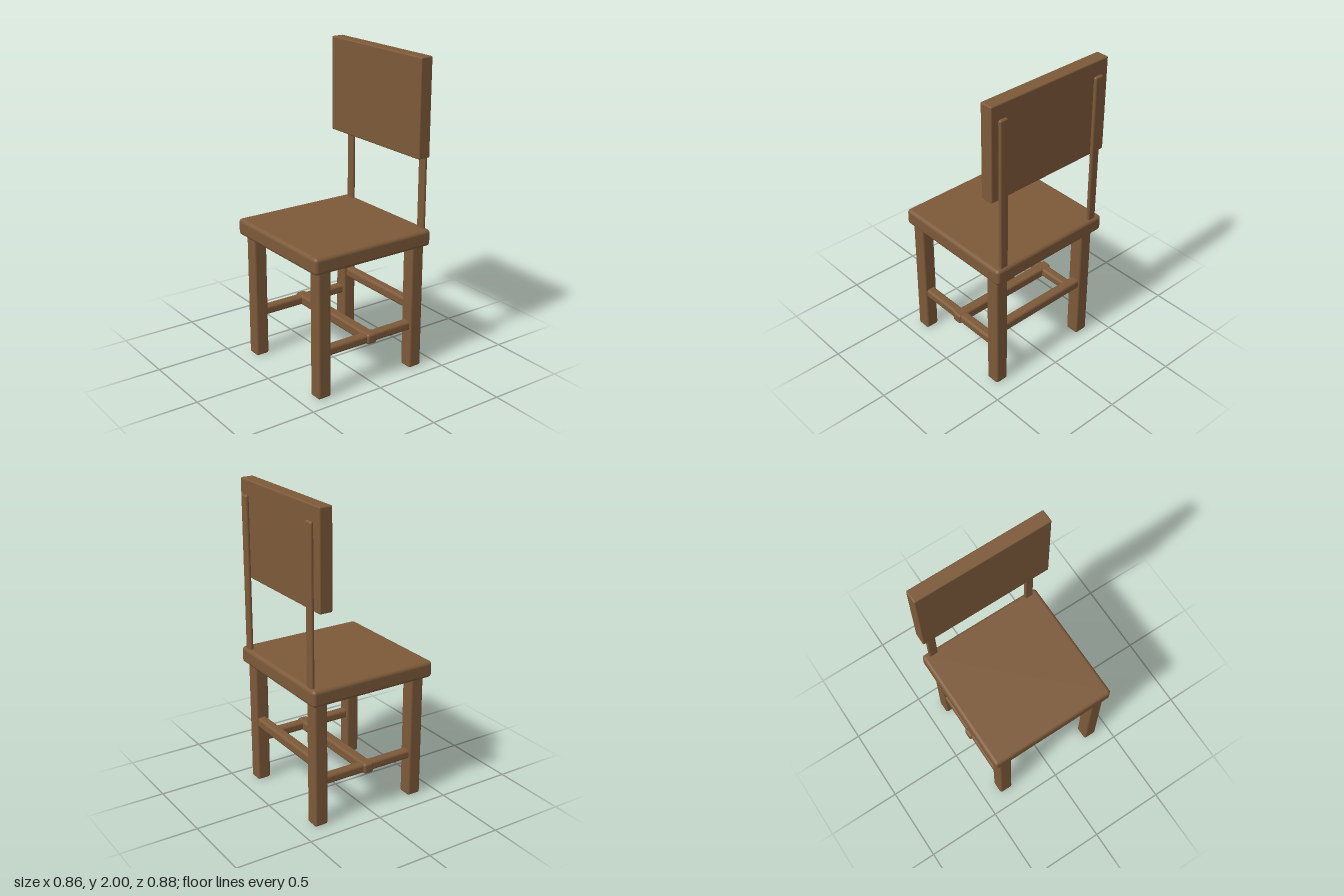
import * as THREE from 'three';
import { RoundedBoxGeometry } from 'three/addons/geometries/RoundedBoxGeometry.js';

const wood = new THREE.MeshStandardMaterial({ color: 0x7d5a3a });

// Wooden bar with softened edges, given by its [min, max] extent on each axis
function bar(name, [x0, x1], [y0, y1], [z0, z1], radius) {
  const geometry = new RoundedBoxGeometry(x1 - x0, y1 - y0, z1 - z0, 4, radius);
  const mesh = new THREE.Mesh(geometry, wood);
  mesh.position.set((x0 + x1) / 2, (y0 + y1) / 2, (z0 + z1) / 2);
  mesh.name = name;
  return mesh;
}

export function createModel() {
  const chair = new THREE.Group();
  chair.name = 'chair';

  // Seat
  chair.add(bar('seat', [-0.43, 0.43], [0.817, 0.925], [-0.43, 0.432], 0.024));

  // The two sides of the chair: legs, low stretcher and back post
  const sides = [
    { side: 'near', leg: [0.32, 0.41], rail: [0.335, 0.398], post: [0.335, 0.396] },
    { side: 'far', leg: [-0.385, -0.293], rail: [-0.375, -0.312], post: [-0.388, -0.326] },
  ];
  for (const { side, leg, rail, post } of sides) {
    chair.add(bar(`${side}FrontLeg`, [-0.397, -0.305], [0, 0.84], leg, 0.015));
    chair.add(bar(`${side}BackLeg`, [0.303, 0.395], [0, 0.84], leg, 0.015));
    chair.add(bar(`${side}SideStretcher`, [-0.33, 0.33], [0.263, 0.323], rail, 0.018));
    chair.add(bar(`${side}BackPost`, [0.392, 0.416], [0.88, 1.91], post, 0.0115));
  }

  // Cross stretcher joining the side stretchers, its ends standing slightly proud
  chair.add(bar('crossStretcher', [-0.03, 0.04], [0.259, 0.327], [-0.39, 0.41], 0.016));

  // Higher stretcher between the back legs
  chair.add(bar('backStretcher', [0.323, 0.387], [0.383, 0.449], [-0.32, 0.345], 0.018));

  // Backrest panel in front of the posts
  chair.add(bar('backrest', [0.306, 0.392], [1.39, 2], [-0.443, 0.441], 0.009));

  return chair;
}
